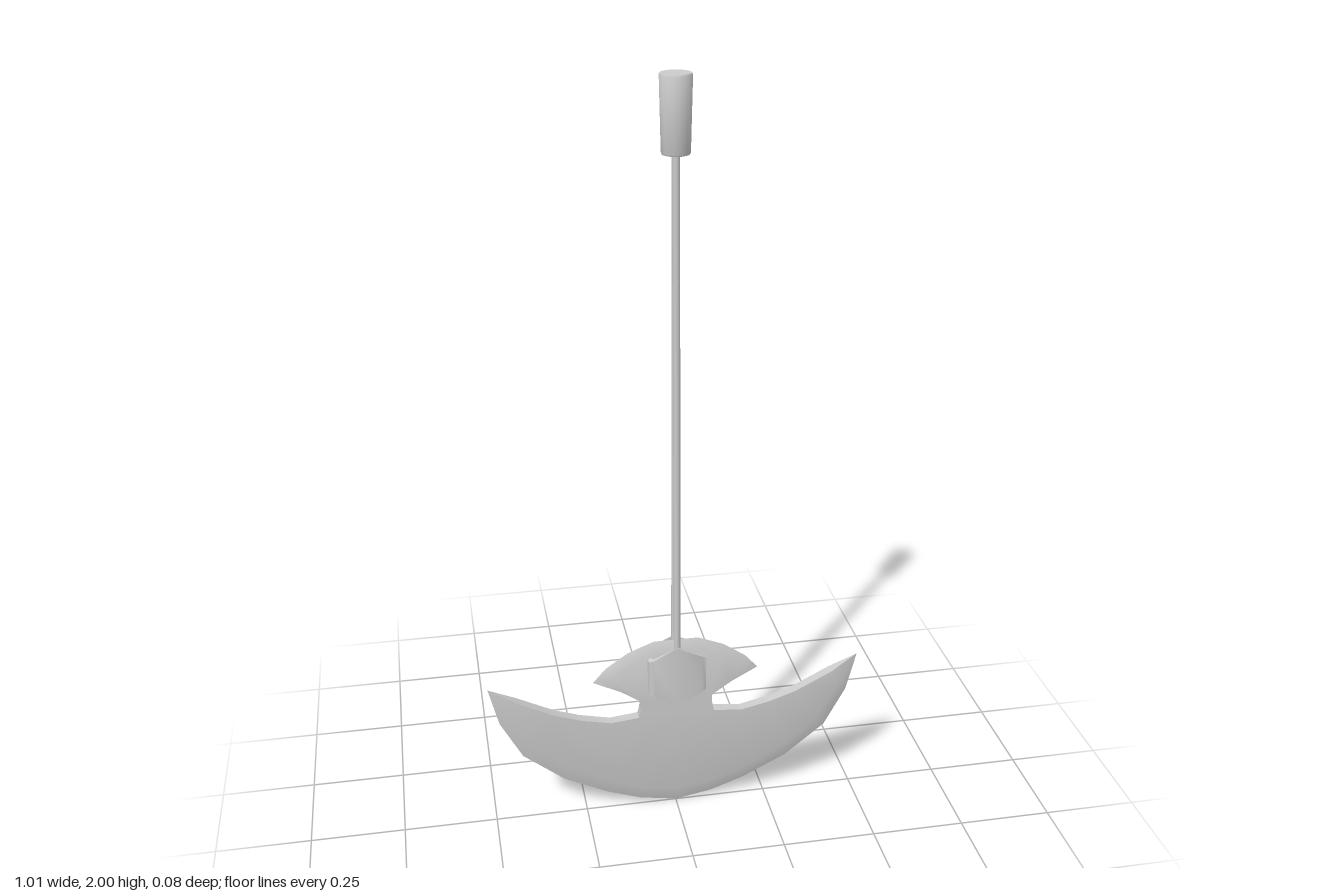
import * as THREE from 'three';
import { toCreasedNormals } from 'three/addons/utils/BufferGeometryUtils.js';

const grey = new THREE.MeshStandardMaterial({ color: 0xcccccc });
const HALF = 0.014; // half thickness of the blade

function mesh(name, geometry, parent) {
  const m = new THREE.Mesh(geometry, grey);
  m.name = name;
  parent.add(m);
  return m;
}

// Plate lofted from half-width sections [edgeX, edgeY, spineX, spineY], centre first;
// the edge is ground down to z = 0 over the bevel width.
function sharpPlate(half, bevel, direction) {
  const mirrored = half.slice(1).reverse().map(([a, b, c, d]) => [-a, b, -c, d]);
  const sections = [...mirrored, ...half];
  if (direction < 0) sections.reverse();
  const pos = [], index = [], n = 5;
  for (const [ex, ey, sx, sy] of sections) {
    const length = Math.hypot(sx - ex, sy - ey);
    const k = length ? Math.min(bevel / length, 0.45) : 0;
    const t = length ? HALF : 0;
    const bx = ex + (sx - ex) * k, by = ey + (sy - ey) * k;
    pos.push(sx, sy, t, bx, by, t, ex, ey, 0, bx, by, -t, sx, sy, -t);
  }
  for (let i = 0; i < sections.length - 1; i++) {
    for (let j = 0; j < n; j++) {
      const a = i * n + j, b = i * n + (j + 1) % n;
      index.push(a, b, b + n, a, b + n, a + n);
    }
  }
  const g = new THREE.BufferGeometry();
  g.setAttribute('position', new THREE.Float32BufferAttribute(pos, 3));
  g.setIndex(index);
  return toCreasedNormals(g, 0.7);
}

// C-shaped clamp plate with a peaked top and a pointed bottom
function clampGeometry() {
  const outer = [[0.079, 0.012], [0.077, 0.031], [0.065, 0.037], [0, 0.037]];
  const inner = [[0, 0.028], [0.058, 0.028], [0.068, 0.024], [0.07, 0.012]];
  const flip = (list) => list.filter(p => p[0] > 0).reverse().map(([x, z]) => [-x, z]);
  const loop = [...outer, ...flip(outer), ...flip(inner), ...inner];
  const shape = new THREE.Shape(loop.map(([x, z]) => new THREE.Vector2(x, -z)));
  const g = new THREE.ExtrudeGeometry(shape, { depth: 1, bevelEnabled: false });
  g.rotateX(-Math.PI / 2);
  const p = g.attributes.position;
  for (let i = 0; i < p.count; i++) {
    const k = Math.abs(p.getX(i)) / 0.079;
    p.setY(i, p.getY(i) > 0.5 ? 0.512 - 0.037 * k : 0.335 + 0.042 * k);
  }
  return toCreasedNormals(g, 0.6);
}

export function createModel() {
  const model = new THREE.Group();
  model.name = 'pendulumBlade';

  // Crescent blade with its sharp edge below
  mesh('crescentBlade', sharpPlate([
    [0, 0, 0, 0.29], [0.1, 0.018, 0.105, 0.293], [0.19, 0.05, 0.18, 0.285],
    [0.31, 0.11, 0.26, 0.303], [0.42, 0.2, 0.33, 0.327],
    [0.478, 0.31, 0.43, 0.378], [0.505, 0.42, 0.505, 0.42],
  ], 0.045, 1), model);

  // Small fan blade with its sharp edge above
  mesh('fanBlade', sharpPlate([
    [0, 0.52, 0, 0.335], [0.06, 0.52, 0.05, 0.335], [0.13, 0.492, 0.095, 0.342],
    [0.19, 0.45, 0.15, 0.38], [0.225, 0.41, 0.225, 0.41],
  ], 0.03, -1), model);

  // Waisted neck joining the two blades
  const neck = new THREE.Shape([
    [-0.105, 0.285], [0.105, 0.285], [0.098, 0.32], [0.097, 0.345], [-0.097, 0.345], [-0.098, 0.32],
  ].map(([x, y]) => new THREE.Vector2(x, y)));
  mesh('neck', new THREE.ExtrudeGeometry(neck, { depth: HALF * 2, bevelEnabled: false })
    .translate(0, 0, -HALF), model);

  // Clamp plate and rod on the front and back
  const clamp = clampGeometry();
  const up = new THREE.Vector3(0, 1, 0);
  for (const side of [1, -1]) {
    const label = side > 0 ? 'front' : 'back';
    const plate = mesh(label + 'Clamp', clamp, model);
    if (side < 0) plate.rotation.y = Math.PI;

    const low = new THREE.Vector3(0, 0.42, 0.02 * side);
    const high = new THREE.Vector3(0, 1.84, 0.005 * side);
    const along = high.clone().sub(low);
    const rod = mesh(label + 'Rod', new THREE.CylinderGeometry(0.009, 0.009, along.length(), 8), model);
    rod.position.copy(low).add(high).multiplyScalar(0.5);
    rod.quaternion.setFromUnitVectors(up, along.normalize());
  }

  // Tapered hanging cap
  const cap = [[0, 1.817], [0.033, 1.817], [0.035, 1.821], [0.039, 1.996], [0.037, 2], [0, 2]];
  mesh('hangingCap', toCreasedNormals(
    new THREE.LatheGeometry(cap.map(([r, y]) => new THREE.Vector2(r, y)), 20), 0.6), model);

  return model;
}
